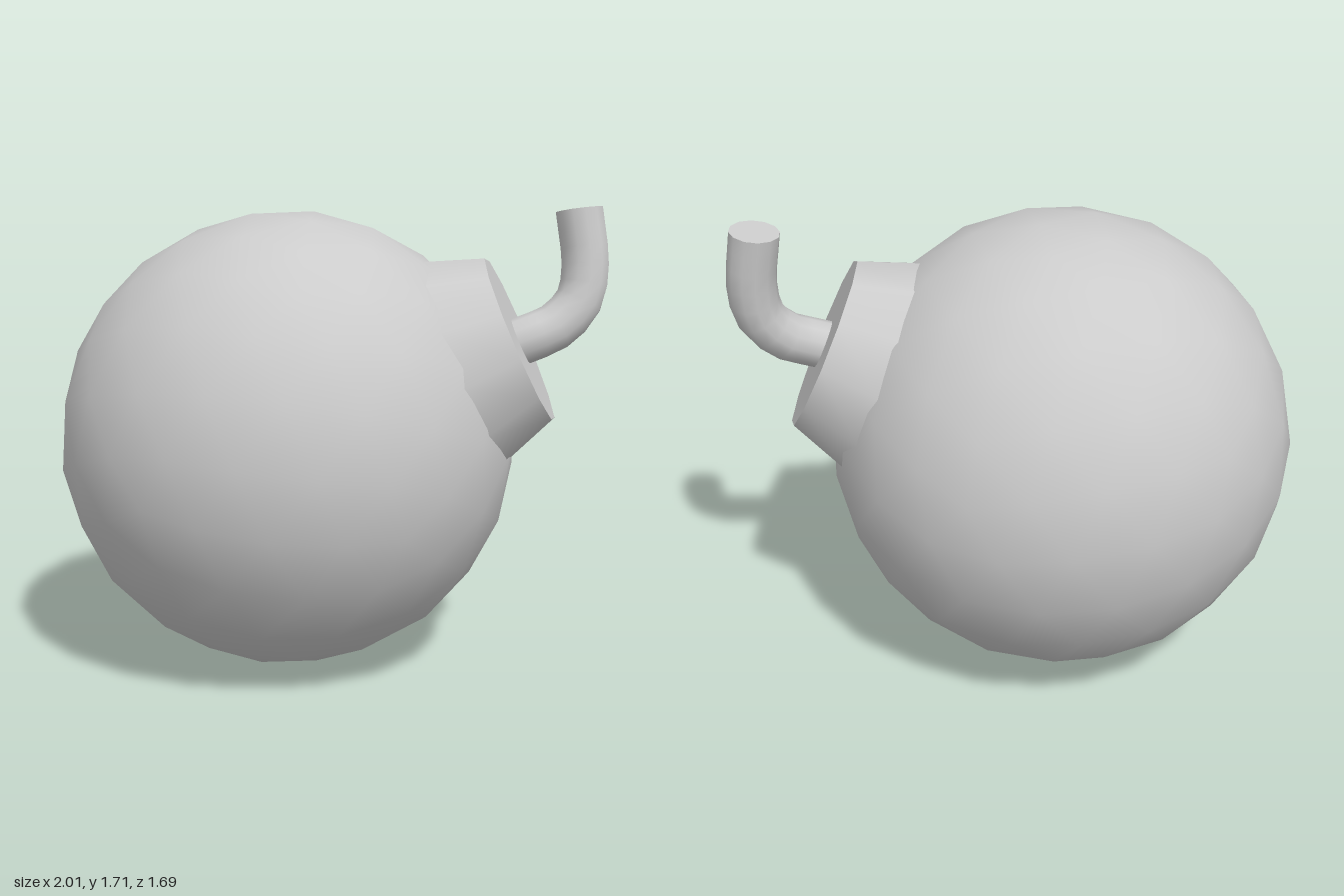
import * as THREE from 'three';

export function createModel() {
  const model = new THREE.Group();
  const grey = new THREE.MeshStandardMaterial({ color: 0xcccccc });
  const add = (name, geometry) => {
    const mesh = new THREE.Mesh(geometry, grey);
    mesh.name = name;
    model.add(mesh);
    return mesh;
  };

  const centre = new THREE.Vector3(-0.15, 0.85, 0);
  const axis = new THREE.Vector3(0.9, 0.41, -0.125).normalize();

  // Round body: smooth icosphere with one corner on the neck axis
  const ball = add('body', new THREE.IcosahedronGeometry(0.852, 3));
  const corner = new THREE.Vector3(0, 1, (1 + Math.sqrt(5)) / 2).normalize();
  ball.quaternion.setFromUnitVectors(corner, axis);
  ball.position.copy(centre);

  // Tapered twelve-sided neck, sunk a little into the body
  const near = 0.73, far = 0.947;
  const neck = add('neck', new THREE.CylinderGeometry(0.325, 0.407, far - near, 12, 1, false, Math.PI / 18));
  const side = new THREE.Vector3(0, 0, 1).addScaledVector(axis, -axis.z).normalize();
  const up = new THREE.Vector3().crossVectors(side, axis);
  neck.quaternion.setFromRotationMatrix(new THREE.Matrix4().makeBasis(side, axis, up));
  neck.position.copy(centre).addScaledVector(axis, (near + far) / 2);

  // Bent fuse rising from the neck
  const path = new THREE.CatmullRomCurve3([
    [0.65, 1.21, -0.1], [0.74, 1.245, -0.13], [0.825, 1.285, -0.175],
    [0.9, 1.375, -0.22], [0.917, 1.5, -0.245], [0.887, 1.705, -0.263],
  ].map((p) => new THREE.Vector3(...p)));
  const fuseRadius = 0.088;
  add('fuse', new THREE.TubeGeometry(path, 10, fuseRadius, 12));

  // Flat end of the fuse
  const end = add('fuseEnd', new THREE.CircleGeometry(fuseRadius, 12));
  end.position.copy(path.getPoint(1));
  end.quaternion.setFromUnitVectors(new THREE.Vector3(0, 0, 1), path.getTangent(1));

  return model;
}
